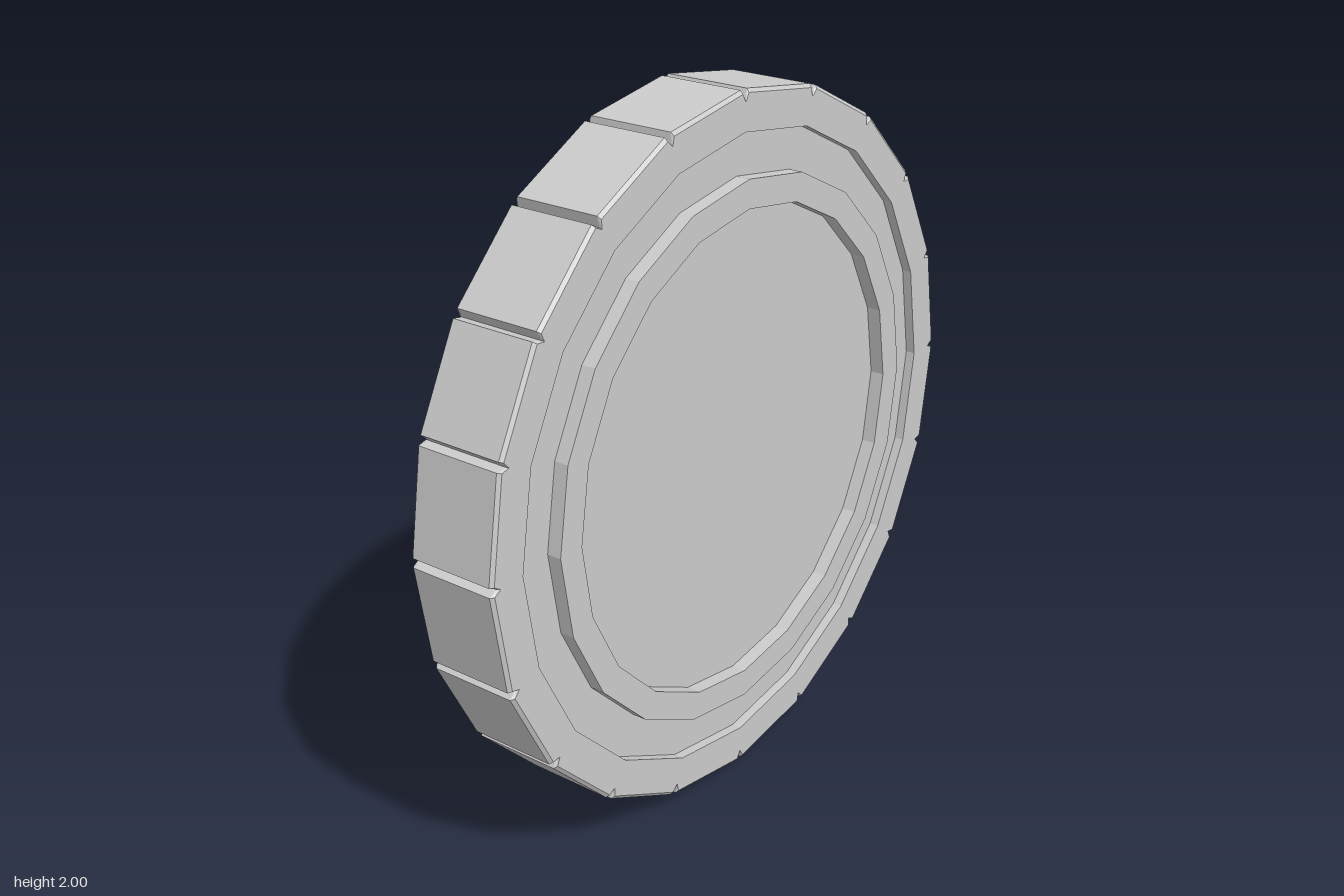
import * as THREE from 'three';

const SIDES = 20;
const STEP = (Math.PI * 2) / SIDES;
const NOTCH = 0.013; // half-width of a notch, in radians
const FLOOR = 0.105; // half-thickness of the recessed disc

const material = new THREE.MeshStandardMaterial({ color: 0xcccccc, flatShading: true });

// One loop round the x axis: a polygon with three points at each corner,
// the middle one pushed inwards by the notch depth.
function loop(x, radius, depth) {
  const points = [];
  const side = radius * Math.cos(STEP / 2) / Math.cos(STEP / 2 - NOTCH);
  for (let i = 0; i < SIDES; i++) {
    for (const k of [-1, 0, 1]) {
      const a = i * STEP + k * NOTCH;
      const r = k === 0 ? radius - depth : side;
      points.push([x, r * Math.cos(a), r * Math.sin(a)]);
    }
  }
  return points;
}

// Skin a row of loops with flat faces
function loft(loops) {
  const pos = [];
  for (let i = 0; i < loops.length - 1; i++) {
    const p = loops[i], q = loops[i + 1];
    for (let j = 0; j < p.length; j++) {
      const k = (j + 1) % p.length;
      pos.push(...p[j], ...q[j], ...p[k], ...p[k], ...q[j], ...q[k]);
    }
  }
  const geometry = new THREE.BufferGeometry();
  geometry.setAttribute('position', new THREE.Float32BufferAttribute(pos, 3));
  geometry.computeVertexNormals();
  return geometry;
}

export function createModel() {
  const model = new THREE.Group();
  model.name = 'coin';

  const add = (name, geometry, turn = 0) => {
    const mesh = new THREE.Mesh(geometry, material);
    mesh.name = name;
    mesh.rotation.z = turn;
    mesh.position.y = 1;
    model.add(mesh);
  };

  // Notched outer rim with a small bevel: x, radius, notch depth
  const profile = [
    [0.095, 0.89, 0],
    [0.133, 0.89, 0],
    [0.133, 0.992, 0.024],
    [0.125, 1.002, 0.03],
  ];
  const mirrored = profile.map(([x, r, d]) => [-x, r, d]).reverse();
  add('notchedRim', loft([...profile, ...mirrored].map((p) => loop(...p))));

  // Recessed disc filling the rim
  add('disc', new THREE.CylinderGeometry(0.9, 0.9, FLOOR * 2, SIDES), -Math.PI / 2);

  // Raised ring on each face
  const ringProfile = [[0.77, 0.09], [0.77, 0.147], [0.69, 0.147], [0.69, 0.09]]
    .map(([r, y]) => new THREE.Vector2(r, y));
  const ring = new THREE.LatheGeometry(ringProfile, SIDES);
  add('leftRing', ring, -Math.PI / 2);
  add('rightRing', ring, Math.PI / 2);

  return model;
}
